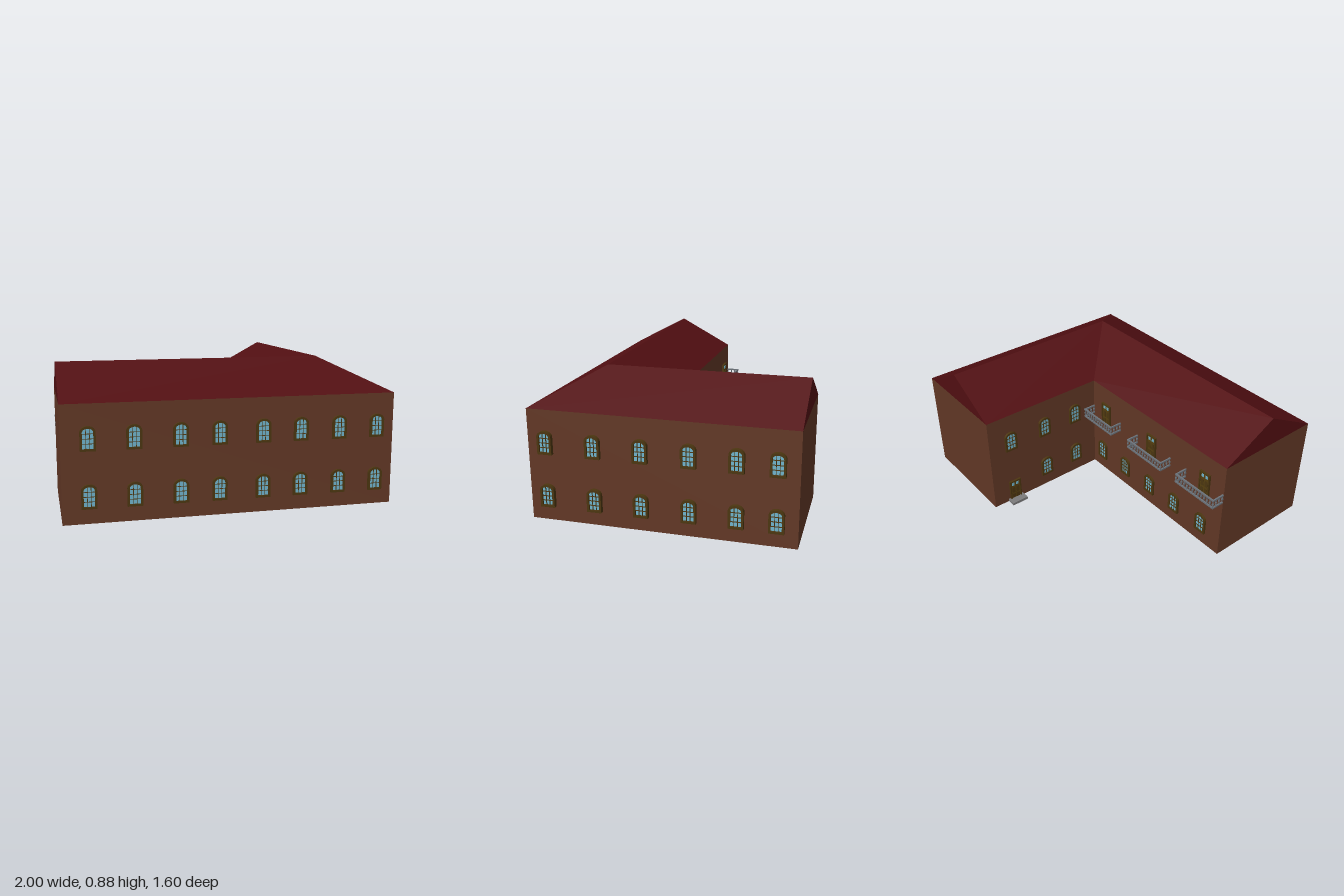
import * as THREE from 'three';
import { mergeGeometries } from 'three/addons/utils/BufferGeometryUtils.js';

const mat = (name, color) => {
  const m = new THREE.MeshStandardMaterial({ color });
  m.name = name;
  return m;
};
const brick = mat('brick brown', 0x623826);
const roofRed = mat('roof maroon', 0x520f12);
const glassBlue = mat('glass blue', 0x70b4cc);
const frameWood = mat('frame wood', 0x4c3610);
const doorWood = mat('door wood', 0x57400f);
const iron = mat('railing grey', 0x6c737a);
const stone = mat('step grey', 0x7c7c7c);

const FRONT = 0, RIGHT = Math.PI / 2, BACK = Math.PI, LEFT = -Math.PI / 2;
const EAVE = 0.68, RIDGE = 0.875;

function mesh(name, geometry, material) {
  const m = new THREE.Mesh(geometry, material);
  m.name = name;
  return m;
}

function box(w, h, d, x, y, z) {
  return new THREE.BoxGeometry(w, h, d).translate(x, y, z);
}

// Upright opening with a shallow arched top, standing on y = bottom
function trace(path, w, bottom, spring, rise) {
  path.moveTo(-w / 2, bottom);
  path.lineTo(w / 2, bottom);
  path.lineTo(w / 2, spring);
  path.absellipse(0, spring, w / 2, rise, 0, Math.PI, false, 0);
  path.lineTo(-w / 2, bottom);
  return path;
}

// Window parts, facing +z with the back on z = 0
const W = 0.088, H = 0.14, T = 0.013, DEPTH = 0.015;
const frameShape = trace(new THREE.Shape(), W, 0, H - 0.035, 0.035);
frameShape.holes.push(trace(new THREE.Path(), W - 2 * T, T, H - 0.035, 0.035 - T));
const frameGeo = new THREE.ExtrudeGeometry(frameShape, { depth: DEPTH, bevelEnabled: false, curveSegments: 10 });
const glassGeo = new THREE.ShapeGeometry(trace(new THREE.Shape(), W - 2 * T, T, H - 0.035, 0.035 - T), 10)
  .translate(0, 0, 0.008);
const bars = [];
for (const x of [-0.0105, 0.0105]) bars.push(box(0.003, H - 2 * T - 0.002, 0.004, x, H / 2 - 0.001, 0.01));
for (const y of [0.041, 0.069, 0.097]) bars.push(box(W - 2 * T, 0.003, 0.004, 0, y, 0.01));
const barGeo = mergeGeometries(bars);

function makeWindow() {
  const g = new THREE.Group();
  g.name = 'window';
  g.add(mesh('windowFrame', frameGeo, frameWood),
    mesh('windowGlass', glassGeo, glassBlue),
    mesh('windowBars', barGeo, frameWood));
  return g;
}

// Panelled door with two small panes at the top
function makeDoor(w = 0.085, h = 0.16) {
  const g = new THREE.Group();
  g.name = 'door';
  g.add(mesh('doorFrame', mergeGeometries([
    box(0.009, h, 0.014, -w / 2 + 0.0045, h / 2, 0.007),
    box(0.009, h, 0.014, w / 2 - 0.0045, h / 2, 0.007),
    box(w - 0.018, 0.009, 0.014, 0, h - 0.0045, 0.007),
  ]), frameWood));
  g.add(mesh('doorLeaf', box(w - 0.018, h - 0.009, 0.008, 0, (h - 0.009) / 2, 0.004), doorWood));
  const panes = [], panels = [];
  for (const x of [-0.016, 0.016]) {
    panes.push(box(0.018, 0.022, 0.003, x, h - 0.028, 0.0085));
    panels.push(box(0.022, 0.045, 0.003, x, h * 0.5, 0.0085), box(0.022, 0.035, 0.003, x, h * 0.17, 0.0085));
  }
  g.add(mesh('doorPanes', mergeGeometries(panes), glassBlue),
    mesh('doorPanels', mergeGeometries(panels), frameWood));
  return g;
}

// L-shaped walls
function makeWalls() {
  const plan = new THREE.Shape([[-1, -0.78], [0.975, -0.78], [0.975, 0.8], [0.25, 0.8], [0.25, -0.05], [-1, -0.05]]
    .map(([x, y]) => new THREE.Vector2(x, y)));
  return mesh('walls', new THREE.ExtrudeGeometry(plan, { depth: EAVE, bevelEnabled: false })
    .rotateX(-Math.PI / 2), brick);
}

// Two pitched roofs meeting at a hip and a valley, with upright gables
function makeRoof() {
  const A = [-1, EAVE, 0.78], B = [0.975, EAVE, 0.78], C = [0.975, EAVE, -0.8];
  const D = [0.25, EAVE, -0.8], E = [0.25, EAVE, 0.05], F = [-1, EAVE, 0.05];
  const P = [-1, RIDGE, 0.415], Q = [0.6125, RIDGE, 0.415], R = [0.6125, RIDGE, -0.8];
  const faces = [[A, B, Q, P], [B, C, R, Q], [C, D, R], [D, E, Q, R], [E, F, P, Q], [F, A, P]];
  const pos = [];
  for (const f of faces) {
    for (let i = 1; i < f.length - 1; i++) pos.push(...f[0], ...f[i], ...f[i + 1]);
  }
  const geo = new THREE.BufferGeometry();
  geo.setAttribute('position', new THREE.Float32BufferAttribute(pos, 3));
  geo.computeVertexNormals();
  return mesh('roof', geo, roofRed);
}

// Three-sided balcony railing against the rear wall
function makeRailing(x0, x1) {
  const y0 = 0.42, y1 = 0.485, zw = 0.05, zf = -0.033, t = 0.01;
  const parts = [];
  const run = (xa, za, xb, zb) => {
    const dx = xb - xa, dz = zb - za, len = Math.hypot(dx, dz);
    for (const y of [y0 + 0.005, y1 - 0.005]) {
      parts.push(box(Math.abs(dx) + t, t, Math.abs(dz) + t, (xa + xb) / 2, y, (za + zb) / 2));
    }
    const n = Math.round(len / 0.024);
    for (let i = 0; i <= n; i++) {
      const x = xa + dx * i / n, z = za + dz * i / n;
      parts.push(box(0.005, y1 - y0 - t, 0.005, x, (y0 + y1) / 2, z));
      parts.push(box(0.01, 0.01, 0.01, x, (y0 + y1) / 2, z));
    }
  };
  const a = x0 + t / 2, b = x1 - t / 2;
  run(a, zf, b, zf);
  run(a, zf, a, zw - t / 2);
  run(b, zf, b, zw - t / 2);
  return mesh('balconyRailing', mergeGeometries(parts), iron);
}

export function createModel() {
  const model = new THREE.Group();
  model.name = 'building';
  model.add(makeWalls(), makeRoof());

  const place = (part, x, y, z, turn, depth = 1) => {
    part.position.set(x, y, z);
    part.rotation.y = turn;
    part.scale.z = depth;
    model.add(part);
  };
  const LOW = 0.088, HIGH = 0.416;

  // Street fronts
  for (const y of [LOW, HIGH]) {
    for (const x of [-0.85, -0.594, -0.33, -0.103, 0.157, 0.387, 0.627, 0.867]) place(makeWindow(), x, y, 0.78, FRONT);
    for (const z of [0.67, 0.378, 0.096, -0.185, -0.455, -0.68]) place(makeWindow(), 0.975, y, z, RIGHT, 1.65);
  }

  // Courtyard, long wing
  for (const x of [-0.84, -0.595, -0.355, -0.105, 0.145]) place(makeWindow(), x, LOW, 0.05, BACK);
  for (const x of [-0.845, -0.36, 0.105]) place(makeDoor(), x, 0.4, 0.05, BACK);
  for (const [a, b] of [[-1, -0.673], [-0.54, -0.213], [-0.045, 0.25]]) model.add(makeRailing(a, b));

  // Courtyard, short wing
  for (const z of [-0.375, -0.125]) place(makeWindow(), 0.25, LOW, z, LEFT);
  for (const z of [-0.64, -0.375, -0.125]) place(makeWindow(), 0.25, HIGH, z, LEFT);
  place(makeDoor(0.085, 0.15), 0.25, 0.01, -0.64, LEFT);
  model.add(mesh('doorStep', box(0.06, 0.018, 0.115, 0.22, 0.009, -0.64), stone));
  return model;
}
